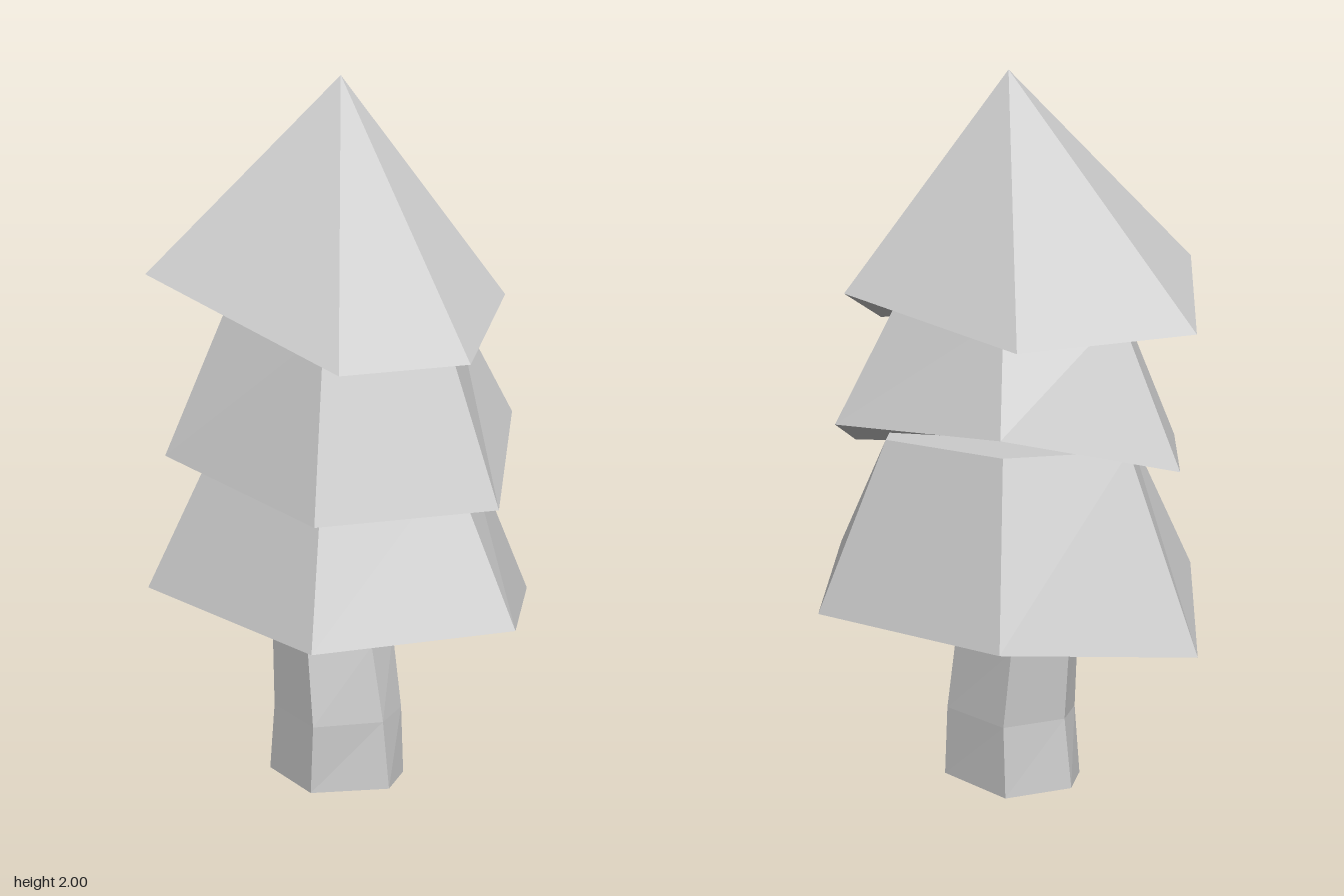
import * as THREE from 'three';

// Joins matching rings of [x, y, z] points, listed bottom to top and
// counter-clockwise from above, with optional caps at either end.
function loft(name, rings, { bottom = false, top = false, side = THREE.FrontSide } = {}) {
  const n = rings[0].length;
  const tris = [];
  const centre = ring => [0, 1, 2].map(k => ring.reduce((s, p) => s + p[k], 0) / n);
  for (let i = 0; i < n; i++) {
    const j = (i + 1) % n;
    for (let r = 0; r + 1 < rings.length; r++) {
      const lo = rings[r], hi = rings[r + 1];
      tris.push(lo[i], lo[j], hi[j], lo[i], hi[j], hi[i]);
    }
    if (bottom) tris.push(rings[0][j], rings[0][i], centre(rings[0]));
    const last = rings[rings.length - 1];
    if (top) tris.push(last[i], last[j], centre(last));
  }
  const geometry = new THREE.BufferGeometry();
  geometry.setAttribute('position', new THREE.Float32BufferAttribute(tris.flat(), 3));
  geometry.computeVertexNormals();
  const material = new THREE.MeshStandardMaterial({ color: 0xcccccc, flatShading: true, side });
  const mesh = new THREE.Mesh(geometry, material);
  mesh.name = name;
  return mesh;
}

// Six-sided ring, narrower in depth; starts at front right corner.
// heights: front +x, +x side, back +x, back -x, -x side, front -x
function hexRing(radius, heights) {
  return heights.map((y, i) => {
    const a = (Math.PI / 3) * (1 - i);
    return [radius * Math.cos(a), y, radius * 0.8 * Math.sin(a)];
  });
}

export function createModel() {
  const tree = new THREE.Group();
  tree.name = 'tree';

  // Crooked trunk, an open six-sided tube
  const trunkRings = [
    [0, [[.06, .185], [.20, .01], [.15, -.105], [-.115, -.16], [-.21, .02], [-.15, .14]]],
    [.2, [[.065, .18], [.18, .015], [.14, -.105], [-.10, -.15], [-.185, .02], [-.135, .135]]],
    [.42, [[.03, .165], [.14, .02], [.11, -.10], [-.12, -.14], [-.20, .02], [-.155, .12]]],
    [.58, [[.065, .14], [.155, .01], [.125, -.10], [-.08, -.14], [-.165, .02], [-.115, .11]]],
  ].map(([y, pts]) => pts.map(([x, z]) => [x, y, z]));
  tree.add(loft('trunk', trunkRings, { side: THREE.DoubleSide }));

  // Two lower foliage tiers with uneven hems
  const tiers = [
    ['lowerFoliage', .64, [.56, .59, .52, .52, .47, .59], .41, 1.0],
    ['middleFoliage', .575, [.89, .91, 1.05, 1.075, .965, .97], .375, 1.37],
  ];
  for (const [name, radius, hem, topRadius, topY] of tiers) {
    const rings = [hexRing(radius, hem), hexRing(topRadius, Array(6).fill(topY))];
    tree.add(loft(name, rings, { bottom: true, top: true }));
  }

  // Pointed crown with a lopsided hem
  const crownHem = [
    [.31, 1.285, .33], [.47, 1.285, 0], [.31, 1.40, -.33],
    [-.26, 1.285, -.295], [-.62, 1.335, 0], [-.31, 1.48, .435],
  ];
  const crown = loft('crownFoliage', [crownHem, crownHem.map(() => [0, 2, 0])], { bottom: true });
  tree.add(crown);

  return tree;
}
